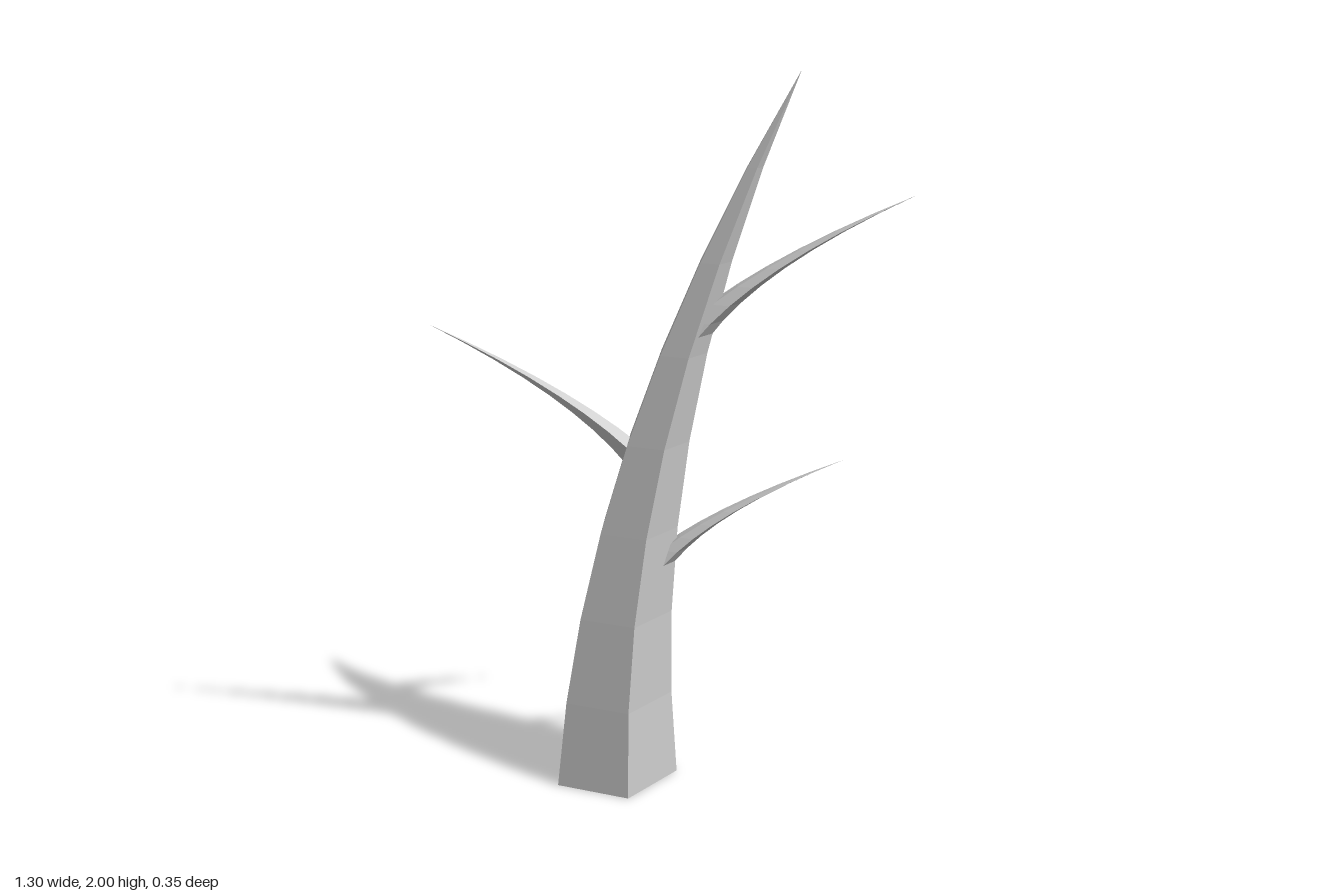
import * as THREE from 'three';

const material = new THREE.MeshStandardMaterial({
  color: 0xcccccc, flatShading: true, side: THREE.DoubleSide,
});

// Open five-sided spike with level rings; its axis leans along x as it rises.
// `straight` is the share of the lean that is linear, the rest is quadratic.
function spike(name, radius, root, tip, segments, straight) {
  const height = tip[1] - root[1];
  const lean = tip[0] - root[0];
  const geometry = new THREE.CylinderGeometry(0, radius, height, 5, segments, true, Math.PI / 2);
  geometry.translate(0, height / 2, 0);
  const p = geometry.attributes.position;
  for (let i = 0; i < p.count; i++) {
    const s = p.getY(i) / height;
    p.setX(i, p.getX(i) + root[0] + lean * (straight * s + (1 - straight) * s * s));
    p.setY(i, p.getY(i) + root[1]);
  }
  geometry.computeVertexNormals();
  const mesh = new THREE.Mesh(geometry, material);
  mesh.name = name;
  return mesh;
}

export function createModel() {
  const tree = new THREE.Group();
  tree.name = 'bareTree';

  // Curved trunk
  tree.add(spike('trunk', 0.184, [-0.157, 0], [0.345, 2], 8, 0));

  // Branches growing out of the trunk
  tree.add(spike('upperLeftBranch', 0.056, [0.055, 1.29], [0.65, 1.68], 8, 0.55));
  tree.add(spike('lowerLeftBranch', 0.044, [-0.022, 0.65], [0.483, 0.955], 8, 0.55));
  tree.add(spike('rightBranch', 0.05, [-0.07, 0.94], [-0.65, 1.32], 8, 0.6));

  return tree;
}
